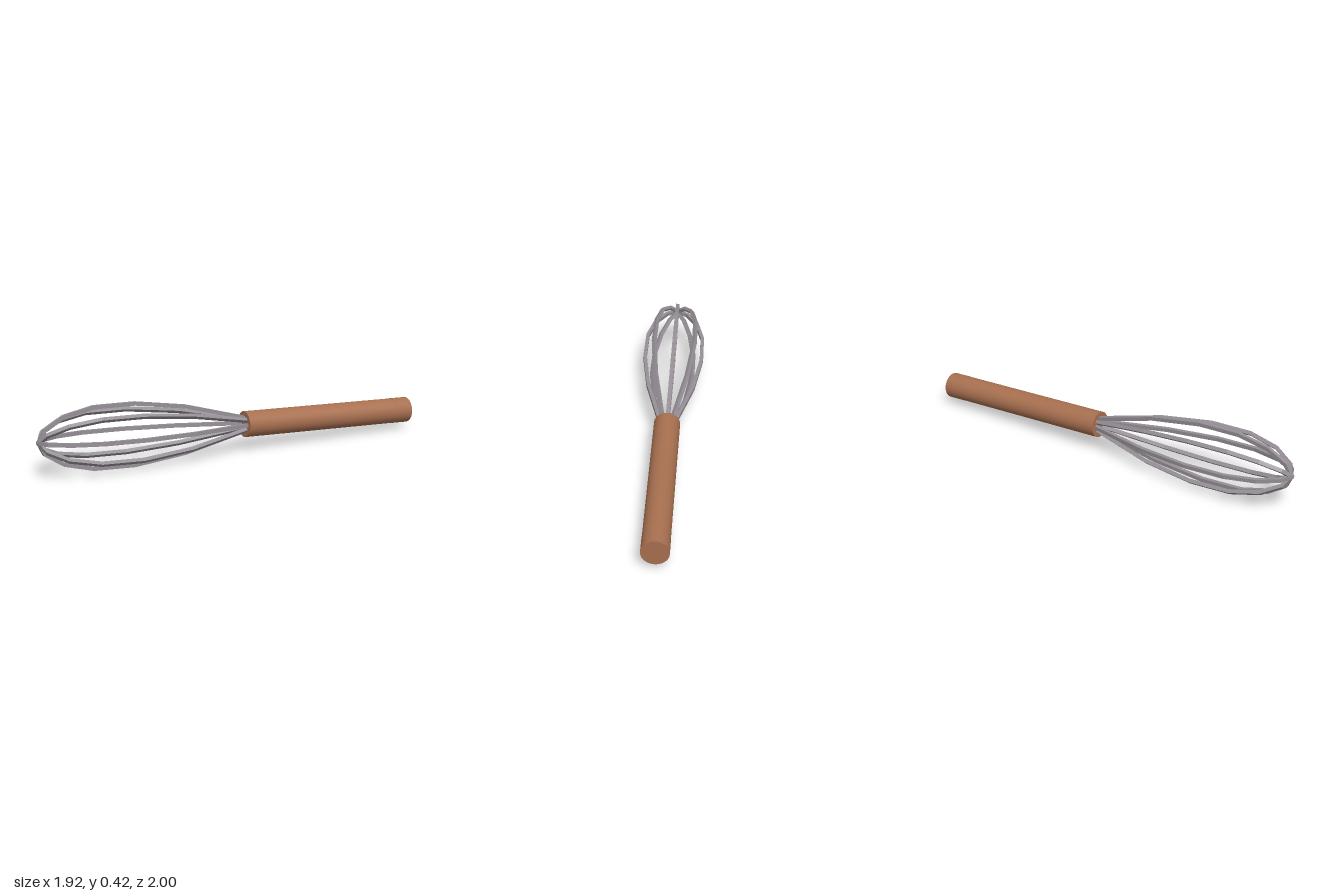
import * as THREE from 'three';

// Curve that keeps its corners, one cross-section per point
class Polyline extends THREE.Curve {
  constructor(points) {
    super();
    this.points = points;
  }
  getPoint(t, target = new THREE.Vector3()) {
    const f = THREE.MathUtils.clamp(t, 0, 1) * (this.points.length - 1);
    const i = Math.min(Math.floor(f), this.points.length - 2);
    return target.lerpVectors(this.points[i], this.points[i + 1], f - i);
  }
  getPointAt(t, target) { return this.getPoint(t, target); }
  getTangentAt(t, target) { return this.getTangent(t, target); }
}

export function createModel() {
  const model = new THREE.Group();
  model.name = 'whisk';
  const wood = new THREE.MeshStandardMaterial({ color: 0xa87050 });
  const steel = new THREE.MeshStandardMaterial({ color: 0x958f95, flatShading: true });

  // Everything is built along local +y, with the handle mouth at the origin
  const whisk = new THREE.Group();
  whisk.name = 'whiskBody';

  // Handle with a barely wider end cap
  const addCylinder = (name, radius, from, to) => {
    const mesh = new THREE.Mesh(new THREE.CylinderGeometry(radius, radius, to - from, 40), wood);
    mesh.position.y = (from + to) / 2;
    mesh.name = name;
    whisk.add(mesh);
  };
  addCylinder('handle', 0.0835, -1.13, 0);
  addCylinder('handleEndCap', 0.0845, -1.253, -1.13);

  // Four square-section wire loops crossing at the tip: [radius, distance from the mouth]
  const half = [
    [0.036, -0.03], [0.148, 0.42], [0.193, 0.765], [0.19, 1.04],
    [0.145, 1.232], [0.072, 1.352], [0, 1.39],
  ];
  const loop = [...half, ...half.slice(0, -1).reverse().map(([r, s]) => [-r, s])];
  const points = loop.map(([r, s]) => new THREE.Vector3(r, s, 0));
  const w = 0.012;
  const section = new THREE.Shape([[-w, -w], [w, -w], [w, w], [-w, w]].map(([x, y]) => new THREE.Vector2(x, y)));
  const wireGeometry = new THREE.ExtrudeGeometry(section, {
    steps: points.length - 1,
    extrudePath: new Polyline(points),
    bevelEnabled: false,
  });
  const roll = 0.055;
  for (let i = 0; i < 4; i++) {
    const wire = new THREE.Mesh(wireGeometry, steel);
    wire.rotation.y = (i * Math.PI) / 4 + roll;
    wire.name = `wireLoop${i + 1}`;
    whisk.add(wire);
  }

  // Lay the whisk diagonally, with the wire end slightly raised
  const along = new THREE.Vector3(-0.69, 0.0425, 0.722).normalize();
  const side = new THREE.Vector3().crossVectors(along, new THREE.Vector3(0, 1, 0)).normalize();
  const up = new THREE.Vector3().crossVectors(side, along);
  whisk.quaternion.setFromRotationMatrix(new THREE.Matrix4().makeBasis(side, along, up));
  whisk.position.set(0.034, 0.17, -0.036);

  model.add(whisk);
  return model;
}
